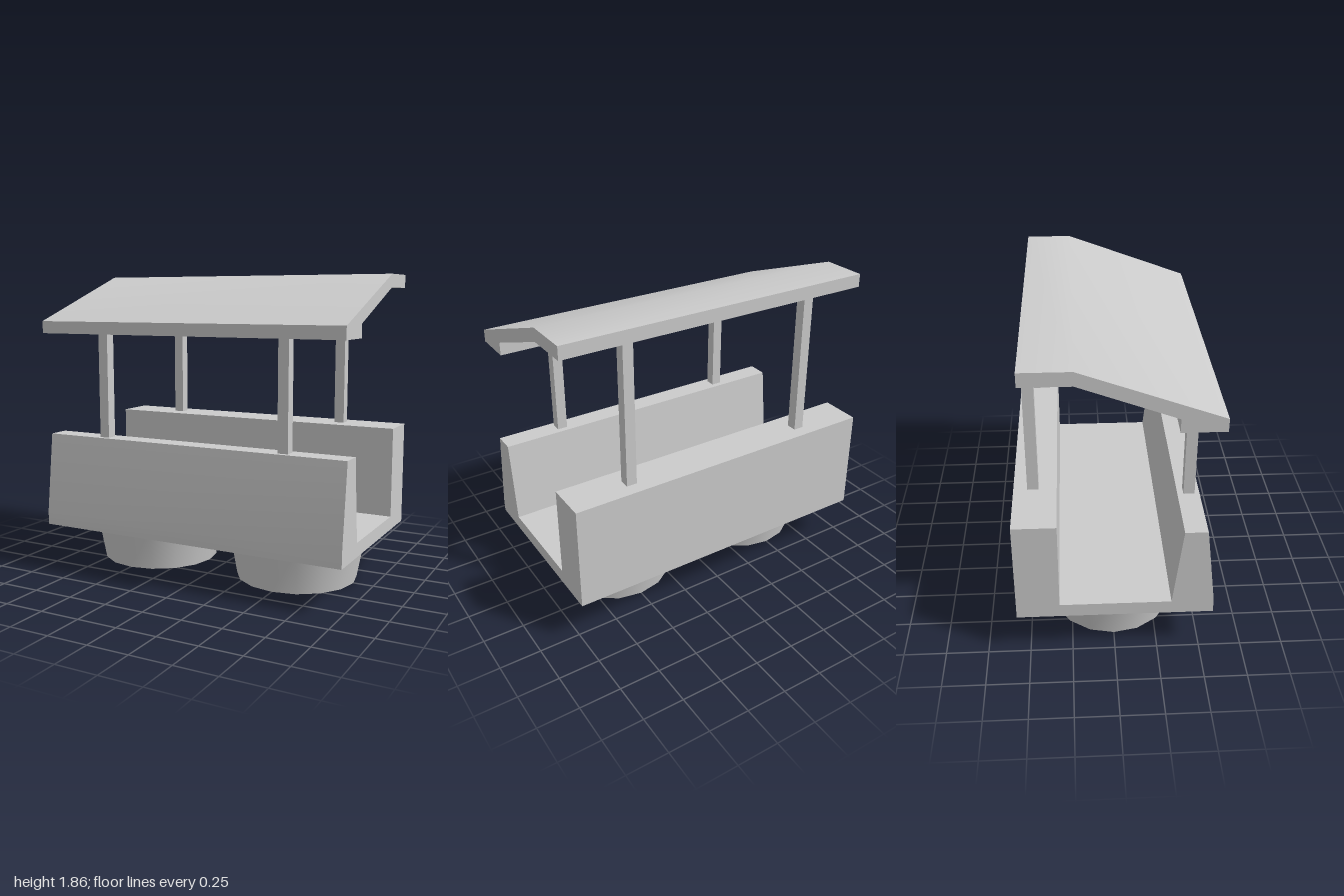
import * as THREE from 'three';
import { toCreasedNormals } from 'three/addons/utils/BufferGeometryUtils.js';

const LENGTH = 2;

export function createModel() {
  const model = new THREE.Group();
  const material = new THREE.MeshStandardMaterial({ color: 0xcccccc });

  function add(name, geometry, x = 0, y = 0, z = 0) {
    const mesh = new THREE.Mesh(geometry, material);
    mesh.name = name;
    mesh.position.set(x, y, z);
    model.add(mesh);
  }

  // Side profile of [z, y] points swept along the full length in x
  function sweep(points) {
    const shape = new THREE.Shape(points.map(([z, y]) => new THREE.Vector2(z, y)));
    const geometry = new THREE.ExtrudeGeometry(shape, { depth: LENGTH, bevelEnabled: false });
    geometry.translate(0, 0, -LENGTH / 2).rotateY(-Math.PI / 2);
    return toCreasedNormals(geometry, Math.PI / 6);
  }

  // Body: floor, tapered front wall and thick back wall
  add('body', sweep([
    [0.57, 0.27], [0.57, 0.355], [0.51, 0.855], [0.38, 0.855], [0.325, 0.355],
    [-0.32, 0.355], [-0.32, 0.915], [-0.57, 0.915], [-0.57, 0.27],
  ]));

  // Sloped roof with a flat ridge and a front lip
  add('roof', sweep([
    [0.57, 1.5], [0.57, 1.575], [-0.21, 1.86], [-0.49, 1.86],
    [-0.49, 1.78], [-0.21, 1.78], [0.325, 1.58], [0.325, 1.5],
  ]));

  for (const [side, s] of [['left', 1], ['right', -1]]) {
    // Roof posts
    for (const [end, z, bottom, top] of [['Front', 0.448, 0.855, 1.5], ['Back', -0.457, 0.915, 1.78]]) {
      add(side + end + 'Post', new THREE.BoxGeometry(0.064, top - bottom, 0.065),
        s * 0.607, (top + bottom) / 2, z);
    }
    // Tapered round foot
    add(side + 'Foot', toCreasedNormals(new THREE.CylinderGeometry(0.425, 0.375, 0.27, 16), Math.PI / 6),
      s * 0.5, 0.135, 0);
  }

  return model;
}
